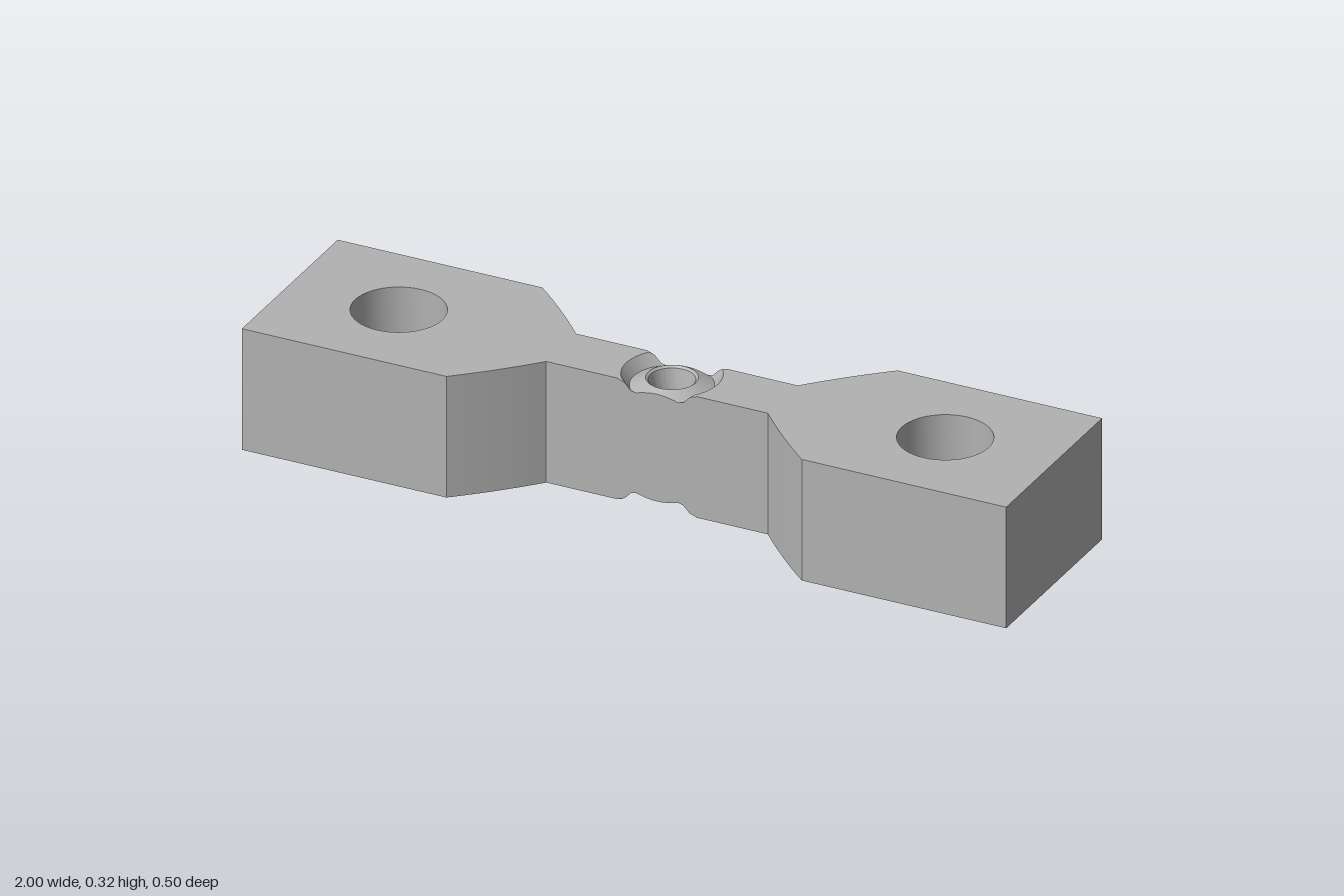
import * as THREE from 'three';
import { toCreasedNormals } from 'three/addons/utils/BufferGeometryUtils.js';

const H = 0.32;      // thickness
const NECK = 0.078;  // half width of the neck
const CORE = 0.13;   // half length of the grooved middle block

// Flared end with a bolt hole, drawn in plan and extruded upward
function endGeometry() {
  const s = new THREE.Shape();
  s.moveTo(CORE, -NECK);
  s.lineTo(0.29, -NECK);
  s.quadraticCurveTo(0.372, -0.17, 0.465, -0.25);
  s.lineTo(1, -0.25);
  s.lineTo(1, 0.25);
  s.lineTo(0.465, 0.25);
  s.quadraticCurveTo(0.372, 0.17, 0.29, NECK);
  s.lineTo(CORE, NECK);
  s.closePath();
  const hole = new THREE.Path();
  hole.absarc(0.715, 0, 0.114, 0, Math.PI * 2, true);
  s.holes.push(hole);
  const g = new THREE.ExtrudeGeometry(s, { depth: H, bevelEnabled: false, curveSegments: 24 });
  g.rotateX(-Math.PI / 2);
  return toCreasedNormals(g, 0.5);
}

// Middle block: a revolved groove and bore profile, cut off by the rectangular sides
function coreGeometry() {
  const upper = [[0.2, H], [0.12, H], [0.1, 0.29], [0.062, 0.31], [0.056, 0.305], [0.037, 0.22]];
  const profile = [...upper, ...upper.map(([r, y]) => [r, H - y]).reverse()];

  // Angles hit the corners of the rectangle exactly
  const c = Math.atan2(NECK, CORE);
  const stops = [-c, c, Math.PI - c, Math.PI + c, 2 * Math.PI - c];
  const angles = [];
  for (let k = 0; k < 4; k++) {
    for (let i = 0; i < 20; i++) angles.push(THREE.MathUtils.lerp(stops[k], stops[k + 1], i / 20));
  }
  angles.push(stops[4]);

  // Height of the top surface at a given radius
  const heightAt = (r) => {
    for (let i = 1; i < upper.length; i++) {
      const [r0, y0] = upper[i - 1], [r1, y1] = upper[i];
      if (r >= r1) return y0 + (y1 - y0) * (r0 - r) / (r0 - r1);
    }
    return H;
  };

  const point = (i, j) => {
    const a = angles[j];
    const edge = Math.min(CORE / Math.abs(Math.cos(a)), NECK / Math.abs(Math.sin(a)));
    let [r, y] = profile[i];
    if (r > edge) {
      r = edge;
      y = y > H / 2 ? heightAt(r) : H - heightAt(r);
    }
    return new THREE.Vector3(r * Math.cos(a), y, -r * Math.sin(a));
  };

  const pos = [];
  const tri = (p, q, r) => {
    if (new THREE.Triangle(p, q, r).getArea() > 1e-9) pos.push(...p, ...q, ...r);
  };
  for (let i = 0; i < profile.length; i++) {
    const n = (i + 1) % profile.length;
    for (let j = 0; j < angles.length - 1; j++) {
      const a = point(i, j), b = point(i, j + 1), d = point(n, j), e = point(n, j + 1);
      tri(a, b, d);
      tri(b, e, d);
    }
  }
  const g = new THREE.BufferGeometry();
  g.setAttribute('position', new THREE.Float32BufferAttribute(pos, 3));
  return toCreasedNormals(g, 0.35);
}

export function createModel() {
  const group = new THREE.Group();
  const metal = new THREE.MeshStandardMaterial({ color: 0xb2b2b2 });
  metal.name = 'grey metal';

  const add = (name, geometry, turn = 0) => {
    const mesh = new THREE.Mesh(geometry, metal);
    mesh.name = name;
    mesh.rotation.y = turn;
    group.add(mesh);
  };

  const end = endGeometry();
  add('leftEnd', end);
  add('rightEnd', end, Math.PI);
  add('groovedCore', coreGeometry());
  return group;
}
